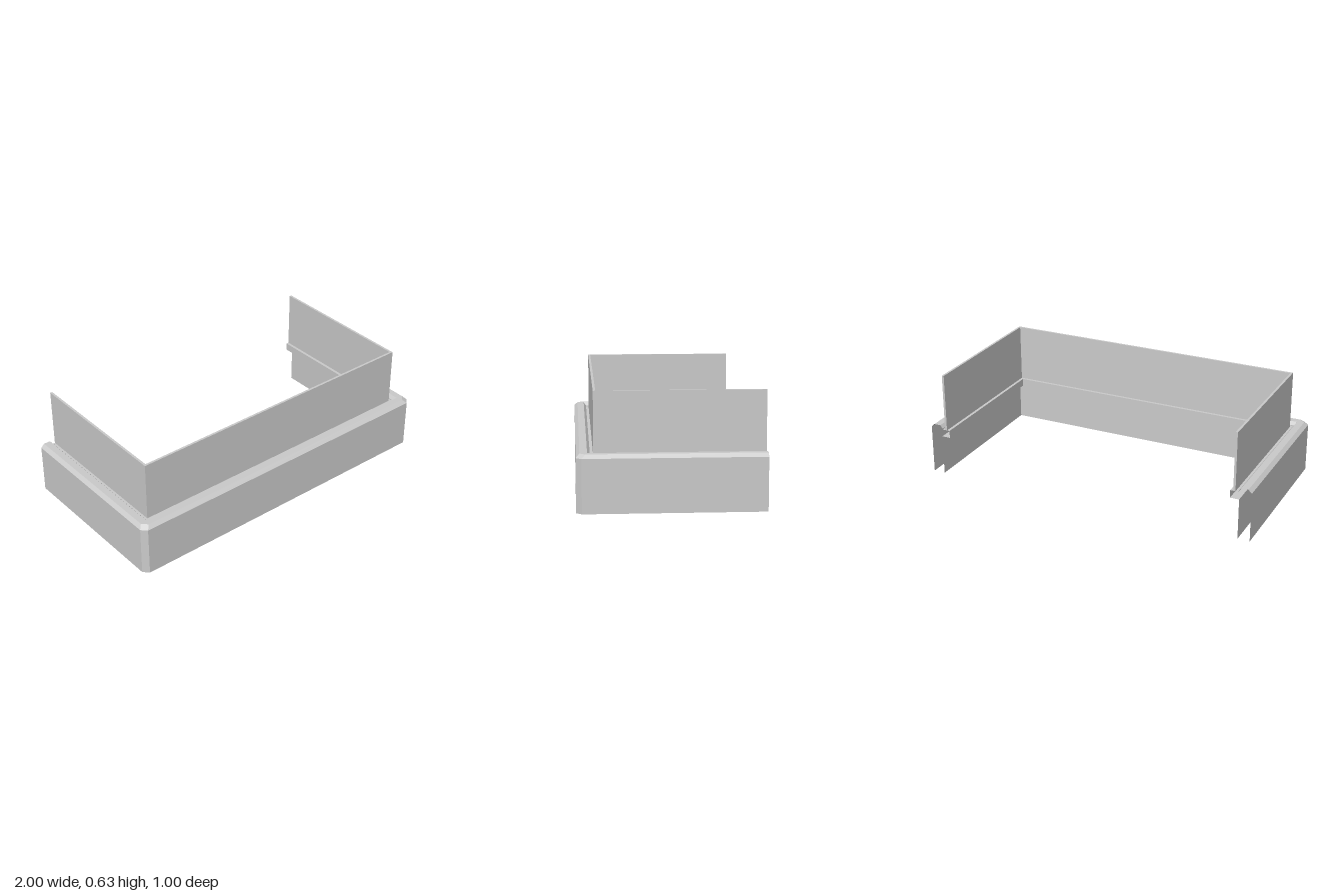
import * as THREE from 'three';

const BACK = -0.5;

// U-shaped path inset by d from the outer footprint, corners cut by c
function pathAt(d, c) {
  const x = 1 - d, z = 0.5 - d;
  return [[-x, BACK], [-x, z - c], [-x + c, z], [x - c, z], [x, z - c], [x, BACK]];
}

// Sheet swept round the U; profile points are [inset, height, corner cut]
function sweepSheet(profile) {
  const rings = profile.map(([d, y, c]) => pathAt(d, c).map(([x, z]) => new THREE.Vector3(x, y, z)));
  const pos = [];
  const tri = (a, b, c) => {
    const area = b.clone().sub(a).cross(c.clone().sub(a)).length();
    if (area > 1e-8) for (const p of [a, b, c]) pos.push(p.x, p.y, p.z);
  };
  for (let j = 0; j < rings.length - 1; j++) {
    for (let i = 0; i < rings[j].length - 1; i++) {
      const a = rings[j][i], b = rings[j][i + 1], c = rings[j + 1][i + 1], d = rings[j + 1][i];
      tri(a, b, c);
      tri(a, c, d);
    }
  }
  const g = new THREE.BufferGeometry();
  g.setAttribute('position', new THREE.Float32BufferAttribute(pos, 3));
  g.computeVertexNormals();
  return g;
}

// Solid U-shaped wall between two insets
function solidU(dOut, dIn, y0, y1) {
  const corners = (d) => [[-1 + d, BACK], [-1 + d, 0.5 - d], [1 - d, 0.5 - d], [1 - d, BACK]];
  const pts = [...corners(dOut), ...corners(dIn).reverse()].map((p) => new THREE.Vector2(...p));
  const g = new THREE.ExtrudeGeometry(new THREE.Shape(pts), { depth: y1 - y0, bevelEnabled: false });
  return g.rotateX(Math.PI / 2).translate(0, y1, 0);
}

export function createModel() {
  const group = new THREE.Group();
  const mat = new THREE.MeshStandardMaterial({ color: 0xcccccc, side: THREE.DoubleSide });
  const add = (name, geometry) => {
    const mesh = new THREE.Mesh(geometry, mat);
    mesh.name = name;
    group.add(mesh);
  };

  // Outer fascia with cut front corners
  add('outerFascia', sweepSheet([[0, 0, 0.03], [0, 0.29, 0.03]]));
  // Bevelled coping on top of the fascia
  add('coping', sweepSheet([[0, 0.29, 0.03], [0.02, 0.31, 0.03], [0.06, 0.31, 0], [0.075, 0.29, 0], [0.075, 0.285, 0]]));
  // Ledge with its inner lip and underside
  add('ledge', sweepSheet([[0.075, 0.285, 0], [0.122, 0.285, 0], [0.122, 0.24, 0], [0.07, 0.24, 0]]));
  // Inner skirt hanging below the ledge
  add('innerSkirt', sweepSheet([[0.07, 0.24, 0], [0.07, 0, 0]]));
  // Upright panel standing on the ledge
  add('balustradePanel', solidU(0.092, 0.105, 0.285, 0.63));

  return group;
}
